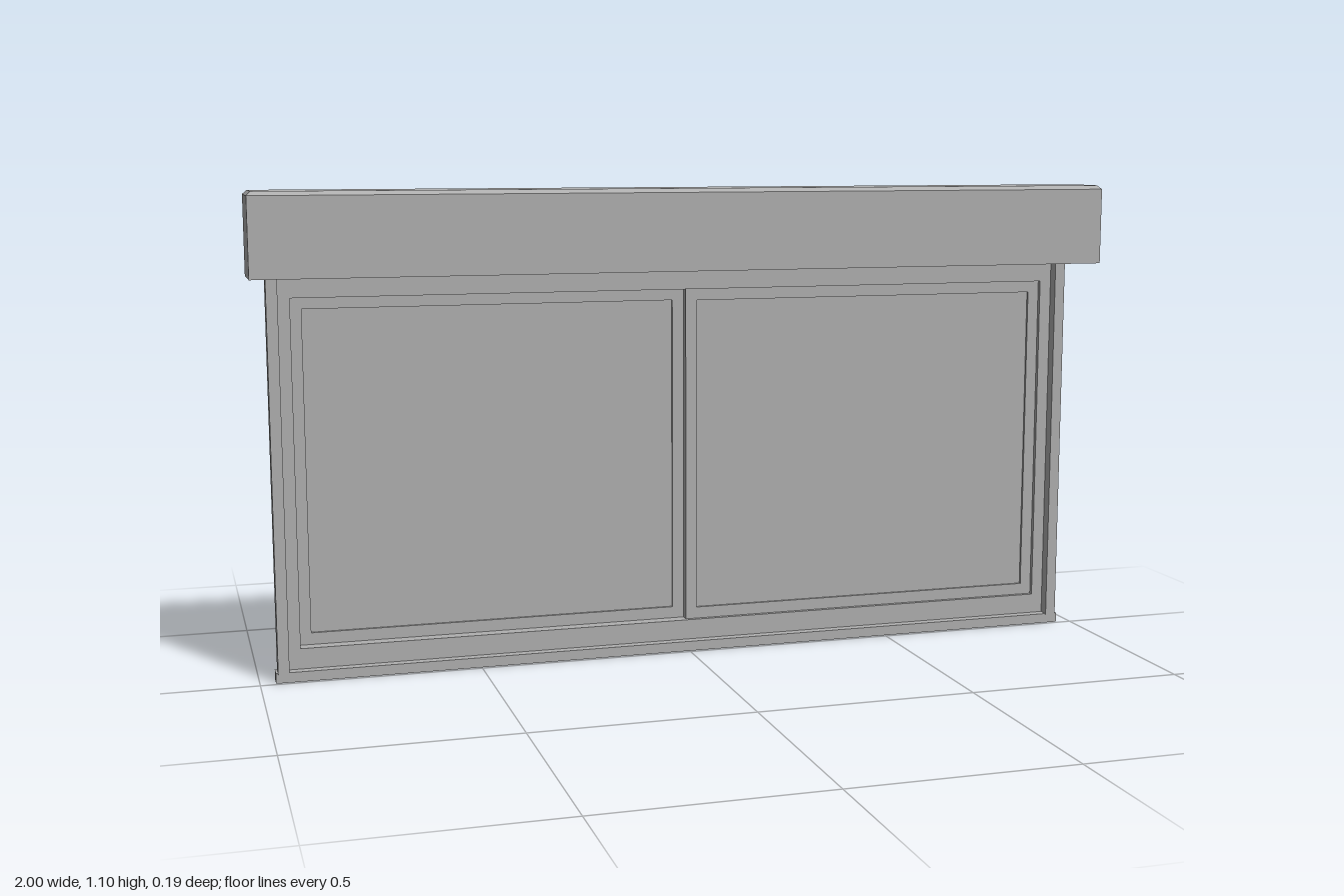
import * as THREE from 'three';

const grey = new THREE.MeshStandardMaterial({ color: 0xb0b0b0 });
grey.name = 'plain grey';

// Box given by its min and max on each axis
function block(name, x0, x1, y0, y1, z0, z1) {
  const geo = new THREE.BoxGeometry(x1 - x0, y1 - y0, z1 - z0);
  geo.translate((x0 + x1) / 2, (y0 + y1) / 2, (z0 + z1) / 2);
  const mesh = new THREE.Mesh(geo, grey);
  mesh.name = name;
  return mesh;
}

// Rectangular ring: outer bounds [x0, x1, y0, y1], inner bounds likewise, between z0 and z1
function ring(name, outer, inner, z0, z1) {
  const rect = (path, [x0, x1, y0, y1]) =>
    path.moveTo(x0, y0).lineTo(x1, y0).lineTo(x1, y1).lineTo(x0, y1).closePath();
  const shape = new THREE.Shape();
  rect(shape, outer);
  const hole = new THREE.Path();
  rect(hole, inner);
  shape.holes.push(hole);
  const geo = new THREE.ExtrudeGeometry(shape, { depth: z1 - z0, bevelEnabled: false });
  geo.translate(0, 0, z0);
  const mesh = new THREE.Mesh(geo, grey);
  mesh.name = name;
  return mesh;
}

// Sliding sash: narrow frame with a slightly recessed pane
function sash(name, x0, x1, z0, z1) {
  const g = new THREE.Group();
  g.name = name;
  const y0 = 0.07, y1 = 0.86, w = 0.027;
  const inner = [x0 + w, x1 - w, y0 + w, y1 - w];
  g.add(ring('sashFrame', [x0, x1, y0, y1], inner, z0, z1));
  g.add(block('pane', ...inner, z0 + 0.006, z1 - 0.006));
  return g;
}

export function createModel() {
  const model = new THREE.Group();
  model.name = 'slidingWindow';

  // Main frame around the opening
  model.add(ring('mainFrame', [-0.955, 0.955, 0.02, 0.91], [-0.907, 0.907, 0.07, 0.86], -0.095, -0.03));

  // Front rim on the sides, and the sill below
  for (const s of [-1, 1]) {
    const a = s * 0.935, b = s * 0.96;
    model.add(block('sideRim', Math.min(a, b), Math.max(a, b), 0.02, 0.91, -0.042, -0.005));
  }
  model.add(block('sill', -0.965, 0.965, 0, 0.023, -0.042, -0.007));

  // Two sashes on neighbouring tracks
  model.add(sash('leftSash', 0, 0.907, -0.06, -0.04));
  model.add(sash('rightSash', -0.907, 0, -0.08, -0.06));

  // Shutter box with a chamfered lid
  model.add(block('shutterBox', -1, 1, 0.91, 1.087, -0.045, 0.095));
  const lid = block('shutterBoxLid', -1, 1, 1.087, 1.096, -0.045, 0.095);
  const p = lid.geometry.attributes.position;
  for (let i = 0; i < p.count; i++) {
    if (p.getY(i) < 1.09) continue;
    p.setX(i, p.getX(i) - Math.sign(p.getX(i)) * 0.009);
    p.setZ(i, p.getZ(i) > 0 ? 0.086 : -0.036);
  }
  lid.geometry = lid.geometry.toNonIndexed();
  lid.geometry.computeVertexNormals();
  model.add(lid);

  return model;
}
